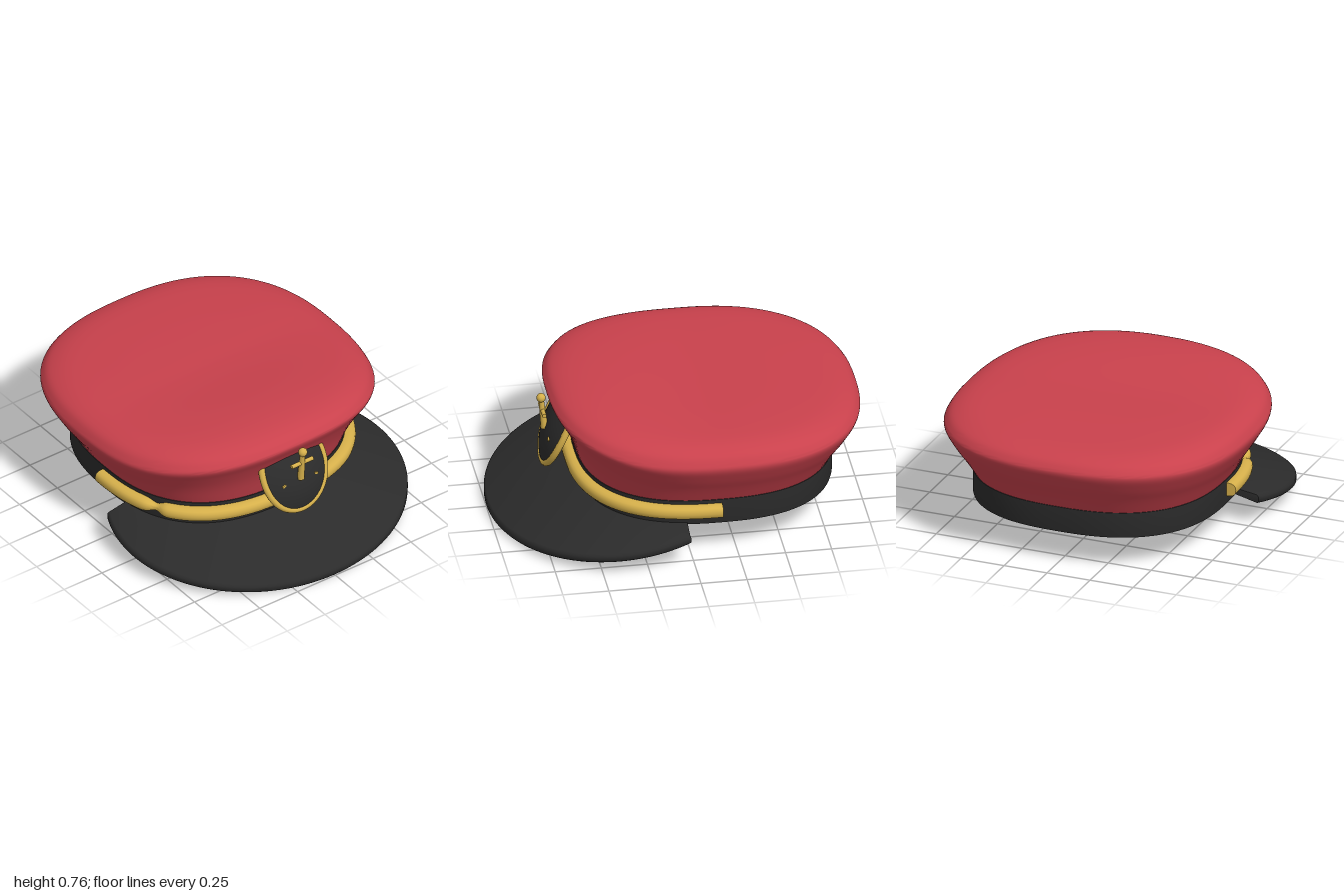
import * as THREE from 'three';
import { toCreasedNormals } from 'three/addons/utils/BufferGeometryUtils.js';

const CENTER_Z = -0.165;
const { smoothstep, lerp } = THREE.MathUtils;

const red = new THREE.MeshStandardMaterial({ color: 0xc9414c });
const black = new THREE.MeshStandardMaterial({ color: 0x2b2b2b });
const gold = new THREE.MeshStandardMaterial({ color: 0xd6b04b });
red.name = 'red cloth';
black.name = 'black leather';
gold.name = 'gold trim';

// Power that squares off a circle
const squared = (v) => Math.sign(v) * Math.pow(Math.abs(v), 0.8);

// Rounded-square outline of the cap at radius r
function outline(r, t, y) {
  return new THREE.Vector3(r * squared(Math.cos(t)), y, CENTER_Z + r * squared(Math.sin(t)));
}

// Surface through rows of points with equal length
function loft(rows, crease = 0.7) {
  const n = rows[0].length, index = [];
  for (let i = 0; i < rows.length - 1; i++) {
    for (let j = 0; j < n - 1; j++) {
      const a = i * n + j, b = a + 1, c = a + n, d = c + 1;
      index.push(a, c, b, b, c, d);
    }
  }
  const g = new THREE.BufferGeometry().setFromPoints(rows.flat());
  g.setIndex(index);
  return toCreasedNormals(g, crease);
}

// Close both ends of a swept section with a fan
function capped(rows) {
  const fan = (row) => {
    const c = new THREE.Vector3();
    row.slice(1).forEach((p) => c.add(p));
    c.divideScalar(row.length - 1);
    return row.map(() => c.clone());
  };
  return [fan(rows[0]), ...rows, fan(rows[rows.length - 1])];
}

const steps = (n, f) => Array.from({ length: n + 1 }, (_, i) => f(i / n));

// Depth of the domed badge, tucking in towards the top and sides
const badgeZ = (x, y) => 0.712 - 1.4 * (y - 0.33) ** 2 - 1.3 * x * x;

export function createModel() {
  const cap = new THREE.Group();
  cap.name = 'peakedCap';
  const add = (name, geometry, material, parent = cap) => {
    const m = new THREE.Mesh(geometry, material);
    m.name = name;
    parent.add(m);
    return m;
  };

  // Crown: profile of radius, height and how strongly the front is lifted
  const profile = new THREE.CatmullRomCurve3([
    [0.685, 0.325, 0], [0.745, 0.425, 1.2], [0.80, 0.51, 1.65], [0.835, 0.575, 1.55],
    [0.828, 0.625, 1.3], [0.785, 0.671, 1.1], [0.70, 0.698, 1], [0.5, 0.709, 1],
    [0.25, 0.711, 1], [0, 0.711, 1],
  ].map((p) => new THREE.Vector3(...p)));
  const crownRow = (r, y, w) => steps(96, (u) => {
    const p = outline(r, u * Math.PI * 2, y);
    const front = 0.056 * smoothstep(p.z, -0.2, 0.5) * Math.max(0, 1 - 1.3 * p.x * p.x);
    const back = 0.018 * (1 - smoothstep(p.z, -1, -0.2)) * smoothstep(y, 0.58, 0.7);
    p.y += w * front - back;
    return p;
  });
  const crownRows = profile.getPoints(44).map((p) => crownRow(Math.max(p.x, 0), p.y, p.z));
  add('crown', loft(crownRows), red);

  // Lining that closes the head opening
  add('lining', loft([0, 0.675].map((r) => crownRow(r, 0.285, 0))), red);

  // Head band with inner and outer walls
  const bandProfile = [
    [0.672, 0.315], [0.672, 0.184], [0.678, 0.18], [0.687, 0.184], [0.69, 0.195], [0.69, 0.328], [0.68, 0.33],
  ];
  add('band', loft(bandProfile.map(([r, y]) => steps(96, (u) => outline(r, u * Math.PI * 2, y)))), black);

  // Visor: sloping slab from the band to an elliptical outer edge
  const visorRows = steps(72, (u) => {
    const ti = lerp(0.2, Math.PI - 0.2, u), to = lerp(-0.37, Math.PI + 0.37, u);
    const x = Math.cos(to), z = Math.sin(to);
    const low = 0.13 * (1 - (0.28 + 0.72 * z - 0.03) / 0.97);
    const edge = (s, y) => new THREE.Vector3(0.855 * s * x, y, 0.28 + 0.72 * s * z);
    return [
      outline(0.675, ti, 0.198), edge(0.985, low + 0.047), edge(1, low + 0.037),
      edge(1, low + 0.008), edge(0.99, low), outline(0.675, ti, 0.162), outline(0.675, ti, 0.198),
    ];
  });
  add('visor', loft(capped(visorRows), 1.1), black);

  // Chin strap: half loop round the front, pinched at the slide knot
  const strapRows = steps(140, (u) => {
    const t = u * Math.PI;
    const x = outline(0.7, t, 0).x;
    const pinch = t > Math.PI / 2 ? 1 - 0.55 * Math.exp(-(((x + 0.625) / 0.018) ** 2)) : 1;
    return steps(16, (v) => {
      const a = v * Math.PI * 2;
      return outline(0.7 + 0.044 * pinch * squared(Math.sin(a)), t, 0.27 + 0.038 * pinch * squared(Math.cos(a)));
    });
  });
  add('chinStrap', loft(capped(strapRows)), gold);

  // Badge: domed shield plate with front and back faces
  const badge = new THREE.Group();
  badge.name = 'badge';
  cap.add(badge);
  const plate = (dz, flip) => loft(steps(24, (v) => steps(16, (s) => {
    const y = 0.57 - 0.304 * v;
    const u = (s * 2 - 1) * flip;
    const x = u * 0.2 * Math.sqrt(Math.max(0, 1 - ((y - 0.49) / 0.225) ** 2));
    const py = y + 0.018 * (1 - u * u) * (1 - v);
    return new THREE.Vector3(x, py, badgeZ(x, py) + dz);
  })));
  add('shieldFront', plate(0, 1), black, badge);
  add('shieldBack', plate(-0.009, -1), black, badge);

  // Gold rim along the sides and bottom of the shield
  const rim = new THREE.CatmullRomCurve3(steps(32, (u) => {
    const a = lerp(-0.363, Math.PI + 0.363, u);
    const x = 0.197 * Math.cos(a), y = 0.49 - 0.222 * Math.sin(a);
    return new THREE.Vector3(x, y, badgeZ(x, y) - 0.01);
  }));
  add('shieldRim', new THREE.TubeGeometry(rim, 64, 0.019, 10), gold, badge);

  // Anchor emblem: shank, stock, ball and fluke tips
  const anchor = new THREE.Group();
  anchor.name = 'anchor';
  anchor.position.set(0, 0.46, 0.685);
  anchor.rotation.x = 0.1;
  badge.add(anchor);
  add('shank', new THREE.CylinderGeometry(0.014, 0.02, 0.175, 14), gold, anchor).position.y = 0.087;
  const stock = add('stock', new THREE.CylinderGeometry(0.012, 0.012, 0.14, 10), gold, anchor);
  stock.rotation.z = Math.PI / 2;
  stock.position.y = 0.11;
  add('ball', new THREE.SphereGeometry(0.025, 18, 12), gold, anchor).position.y = 0.185;
  for (const side of [-1, 1]) {
    const fluke = add('flukeTip', new THREE.BoxGeometry(0.022, 0.011, 0.012), gold, badge);
    fluke.position.set(side * 0.105, 0.446, badgeZ(0.105, 0.446));
    fluke.rotation.z = side * -0.5;
  }
  return cap;
}
